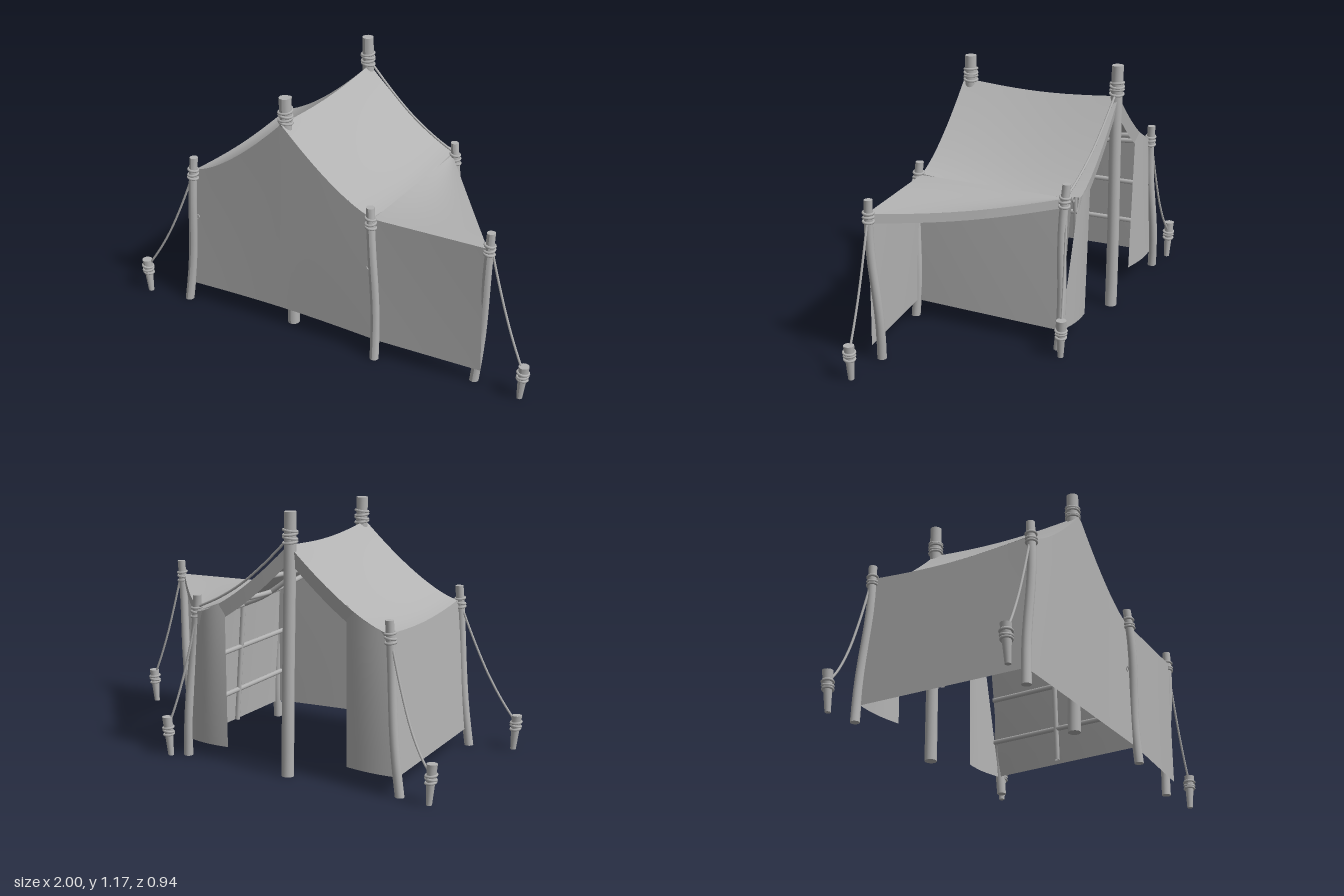
import * as THREE from 'three';

const canvas = new THREE.MeshStandardMaterial({ color: 0xb2b2b2, side: THREE.DoubleSide });
canvas.name = 'warm grey';

const V = (x, y, z) => new THREE.Vector3(x, y, z);
const mix = THREE.MathUtils.lerp;
const arch = (t) => Math.sin(Math.PI * t);

export function createModel() {
  const root = new THREE.Group();
  root.name = 'tent';

  const add = (name, geometry, parent = root) => {
    const mesh = new THREE.Mesh(geometry, canvas);
    mesh.name = name;
    parent.add(mesh);
    return mesh;
  };

  // Cloth panel from a rule (u, v) -> point
  const cloth = (name, rule, nu = 16, nv = 8) => {
    const pos = [], index = [];
    for (let j = 0; j <= nv; j++)
      for (let i = 0; i <= nu; i++) pos.push(...rule(i / nu, j / nv).toArray());
    for (let j = 0; j < nv; j++)
      for (let i = 0; i < nu; i++) {
        const a = j * (nu + 1) + i, b = a + nu + 1;
        index.push(a, a + 1, b, a + 1, b + 1, b);
      }
    const g = new THREE.BufferGeometry();
    g.setAttribute('position', new THREE.Float32BufferAttribute(pos, 3));
    g.setIndex(index);
    g.computeVertexNormals();
    return add(name, g);
  };

  // Slightly bowed, leaning pole with wound rope rings
  const pole = (name, base, top, r0, r1, rings, bow = 0.008) => {
    const group = new THREE.Group();
    group.name = name;
    root.add(group);
    const at = (t) => base.clone().lerp(top, t).add(V(bow * arch(t), 0, -bow * Math.sin(2 * Math.PI * t)));
    const g = new THREE.CylinderGeometry(r1, r0, 1, 14, 10);
    const p = g.attributes.position;
    for (let i = 0; i < p.count; i++) {
      const c = at(p.getY(i) + 0.5);
      p.setXYZ(i, p.getX(i) + c.x, c.y, p.getZ(i) + c.z);
    }
    g.computeVertexNormals();
    add(name + 'Shaft', g, group);
    rings.forEach((y, i) => {
      const t = (y - base.y) / (top.y - base.y);
      const ring = add('ropeRing', new THREE.TorusGeometry(mix(r0, r1, t) + 0.003, 0.006, 6, 18), group);
      ring.position.copy(at(t));
      ring.rotation.set(Math.PI / 2 + (i % 2 ? 0.1 : -0.08), i % 2 ? 0.1 : -0.12, 0);
    });
  };

  const tube = (name, points, r, segments = 16) =>
    add(name, new THREE.TubeGeometry(new THREE.CatmullRomCurve3(points), segments, r, 8));
  const rope = (name, a, b, sag) =>
    tube(name, [0, 0.25, 0.5, 0.75, 1].map((t) => a.clone().lerp(b, t).add(V(0, -sag * arch(t), 0))), 0.0055, 20);

  // Ridge poles
  pole('frontRidgePole', V(-0.21, 0, 0.335), V(-0.218, 1.145, 0.345), 0.028, 0.027, [1.03, 1.045, 1.062, 1.08], 0.002);
  pole('backRidgePole', V(-0.212, 0, -0.383), V(-0.225, 1.172, -0.386), 0.028, 0.027, [1.04, 1.058, 1.075, 1.09], 0.002);

  // Corner and awning poles
  const wraps = [0.66, 0.678, 0.7];
  [
    ['frontRightPole', V(-0.755, 0, 0.41), V(-0.693, 0.76, 0.392)],
    ['backRightPole', V(-0.755, 0, -0.405), V(-0.693, 0.755, -0.4)],
    ['frontLeftPole', V(0.265, 0, 0.412), V(0.233, 0.75, 0.39)],
    ['backLeftPole', V(0.33, 0, -0.335), V(0.266, 0.758, -0.342)],
    ['awningPole', V(0.727, 0, 0.337), V(0.782, 0.758, 0.345)],
  ].forEach(([name, a, b]) => pole(name, a, b, 0.021, 0.019, wraps));

  // Ground stakes and guy ropes
  [
    [V(-0.96, 0, 0.445), V(-0.974, 0.165, 0.442), V(-0.7, 0.675, 0.395), 0.05],
    [V(-0.9, 0, -0.436), V(-0.912, 0.182, -0.44), V(-0.7, 0.675, -0.4), 0.09],
    [V(0.4, 0, -0.375), V(0.413, 0.182, -0.382), V(0.27, 0.675, -0.345), 0.05],
    [V(0.955, 0, 0.36), V(0.968, 0.165, 0.358), V(0.79, 0.675, 0.347), 0.04],
  ].forEach(([a, b, tie, sag]) => {
    pole('stake', a, b, 0.013, 0.024, [0.1, 0.115, 0.132], 0);
    rope('guyRope', tie, V(b.x, 0.125, b.z), sag);
  });
  rope('ridgeRope', V(-0.2, 1.04, -0.385), V(0.262, 0.705, -0.345), 0.04);
  rope('awningRope', V(0.25, 0.68, 0.37), V(0.775, 0.68, 0.34), 0.09);

  // Roof: concave slopes meeting at a gently sagging ridge
  const ridgeX = -0.22, frontZ = 0.38, backZ = -0.395;
  const drop = (s) => 1.03 - 0.335 * (1 - Math.pow(1 - s, 1.4));
  const roofX = (side, s) => mix(ridgeX, side < 0 ? -0.692 : 0.237, s);
  const roofY = (x) => drop(Math.min(1, (x - ridgeX) / (x < ridgeX ? -0.472 : 0.457)));
  for (const side of [-1, 1])
    cloth(side < 0 ? 'rightRoof' : 'leftRoof', (s, v) =>
      V(roofX(side, s), drop(s) - 0.022 * arch(v), mix(frontZ, backZ, v)), 16, 12);

  // Front wall
  cloth('frontWall', (u, v) => {
    const topX = mix(-0.692, 0.237, u);
    return V(mix(mix(-0.735, 0.268, u), topX, v), mix(0.085 + 0.008 * arch(u), roofY(topX), v),
      mix(0.395, frontZ, v) - 0.008 * arch(u) * (1 - v));
  }, 32, 6);

  // Side walls
  cloth('rightWall', (u, v) => V(mix(-0.74, -0.692, v), mix(0.08, 0.695 - 0.022 * arch(u), v), mix(0.395, -0.395, u)));
  cloth('leftWall', (u, v) => V(mix(mix(0.265, 0.31, u), mix(0.237, 0.25, u), v),
    mix(0.08, 0.695 - 0.022 * arch(u), v), mix(mix(0.4, -0.335, u), mix(0.38, -0.36, u), v)));

  // Back gable hem and the two door flaps
  cloth('backHem', (u, v) => {
    const x = mix(-0.692, 0.237, u);
    return V(x, roofY(x) - 0.075 * v, backZ + 0.01 * v);
  }, 32, 1);
  const flap = (name, outerLow, outerTop, inner, zOuter) =>
    cloth(name, (u, v) => {
      const topX = mix(outerTop, inner, u);
      return V(mix(mix(outerLow, inner, u), topX, v), mix(0.08, roofY(topX), v),
        mix(mix(zOuter, -0.37, u), -0.388, v) - 0.012 * arch(u));
    }, 8, 6);
  flap('rightDoorFlap', -0.74, -0.692, -0.49, -0.395);
  flap('leftDoorFlap', 0.31, 0.237, 0.1, -0.34);

  // Awning roof, hem and front wall
  const A = V(0.24, 0.69, 0.382), B = V(0.775, 0.688, 0.362), C = V(0.255, 0.69, -0.345);
  const edge = (t) => B.clone().lerp(C, t).add(V(0.008 * arch(t), -0.02 * arch(t), 0));
  cloth('awningRoof', (u, v) => A.clone().lerp(C, v).lerp(edge(v), u).add(V(0, -0.012 * arch(u) * arch(v), 0)), 12, 14);
  cloth('awningHem', (u, v) => edge(u).add(V(0, -0.042 * v, 0)), 16, 1);
  cloth('awningWall', (u, v) => {
    const bottom = V(mix(0.268, 0.768, u), mix(0.085, 0.075, u), mix(0.395, 0.362, u));
    return bottom.lerp(A.clone().lerp(B, u), v).add(V(-0.008 * u * arch(v), 0, 0));
  });

  // Inner frame: purlins, rafters, wall rails and studs
  const r = 0.012;
  const beam = (name, x, y) => tube(name, [V(x, y, 0.37), V(x, y - 0.022, 0), V(x, y, -0.36)], r);
  beam('ridgeBeam', ridgeX, 1.0);
  for (const side of [-1, 1]) {
    const wallX = (y) => side < 0 ? mix(-0.74, -0.692, (y - 0.08) / 0.615) + 0.016
      : mix(0.28, 0.24, (y - 0.08) / 0.615) - 0.016;
    for (const s of [0.33, 0.66]) beam('purlin', roofX(side, s), drop(s) - 0.02);
    tube('rafter', [0.02, 0.25, 0.5, 0.75, 0.98].map((s) => V(roofX(side, s), drop(s) - 0.042, 0)), r);
    beam('eaveBeam', wallX(0.67), 0.675);
    for (const y of [0.24, 0.45]) {
      const lean = side < 0 ? 0 : 0.015;
      tube('wallRail', [V(wallX(y) - lean, y, 0.39), V(wallX(y) + lean, y, side < 0 ? -0.39 : -0.34)], r);
    }
    tube('wallStud', [V(wallX(0.09), 0.09, 0), V(wallX(0.66), 0.66, 0)], r);
  }

  return root;
}
